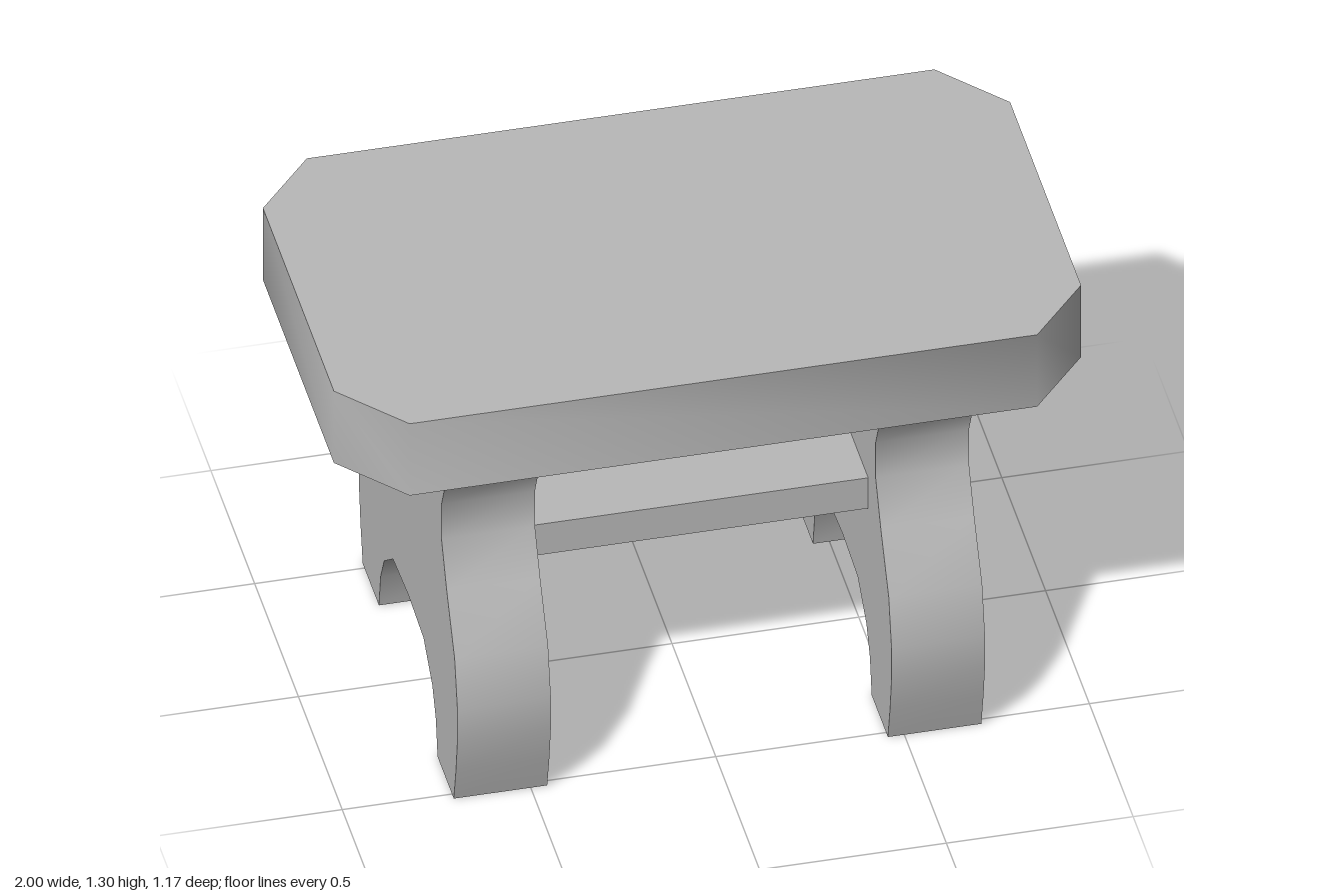
import * as THREE from 'three';
import { toCreasedNormals } from 'three/addons/utils/BufferGeometryUtils.js';

// Extrude a half outline mirrored across its vertical axis, centred in depth
function mirroredSlab(half, depth) {
  const pts = half.map(([u, v]) => new THREE.Vector2(u, v));
  for (const [u, v] of [...half].reverse()) {
    if (u > 0) pts.push(new THREE.Vector2(-u, v));
  }
  const geo = new THREE.ExtrudeGeometry(new THREE.Shape(pts), { depth, bevelEnabled: false });
  geo.translate(0, 0, -depth / 2);
  return geo;
}

export function createModel() {
  const model = new THREE.Group();
  model.name = 'stool';
  const grey = new THREE.MeshStandardMaterial({ color: 0xb8b8b8 });
  grey.name = 'plain grey';

  const add = (name, geo, x, y) => {
    const mesh = new THREE.Mesh(toCreasedNormals(geo, 0.9), grey);
    mesh.name = name;
    mesh.position.set(x, y, 0);
    model.add(mesh);
  };

  // Thick seat with cut corners
  const seat = mirroredSlab([[0.84, -0.587], [1, -0.405], [1, 0.405], [0.84, 0.587]], 0.235);
  seat.rotateX(-Math.PI / 2);
  add('seat', seat, 0, 1.182);

  // Curved slab legs: foot arch first, then up the outer edge
  const legOutline = [
    [0, 0.283], [0.175, 0.27], [0.275, 0.19], [0.315, 0.11], [0.335, 0],
    [0.52, 0], [0.545, 0.11], [0.562, 0.22], [0.562, 0.32], [0.53, 0.465],
    [0.44, 0.62], [0.38, 0.745], [0.38, 0.86], [0.43, 0.97], [0.52, 1.066],
  ];
  for (const side of [-1, 1]) {
    const leg = mirroredSlab(legOutline, 0.25);
    leg.rotateY(Math.PI / 2);
    add(side > 0 ? 'leftLeg' : 'rightLeg', leg, side * 0.581, 0);
  }

  // Shelf joining the legs
  add('shelf', new THREE.BoxGeometry(0.914, 0.1, 0.59), 0, 0.632);
  return model;
}
